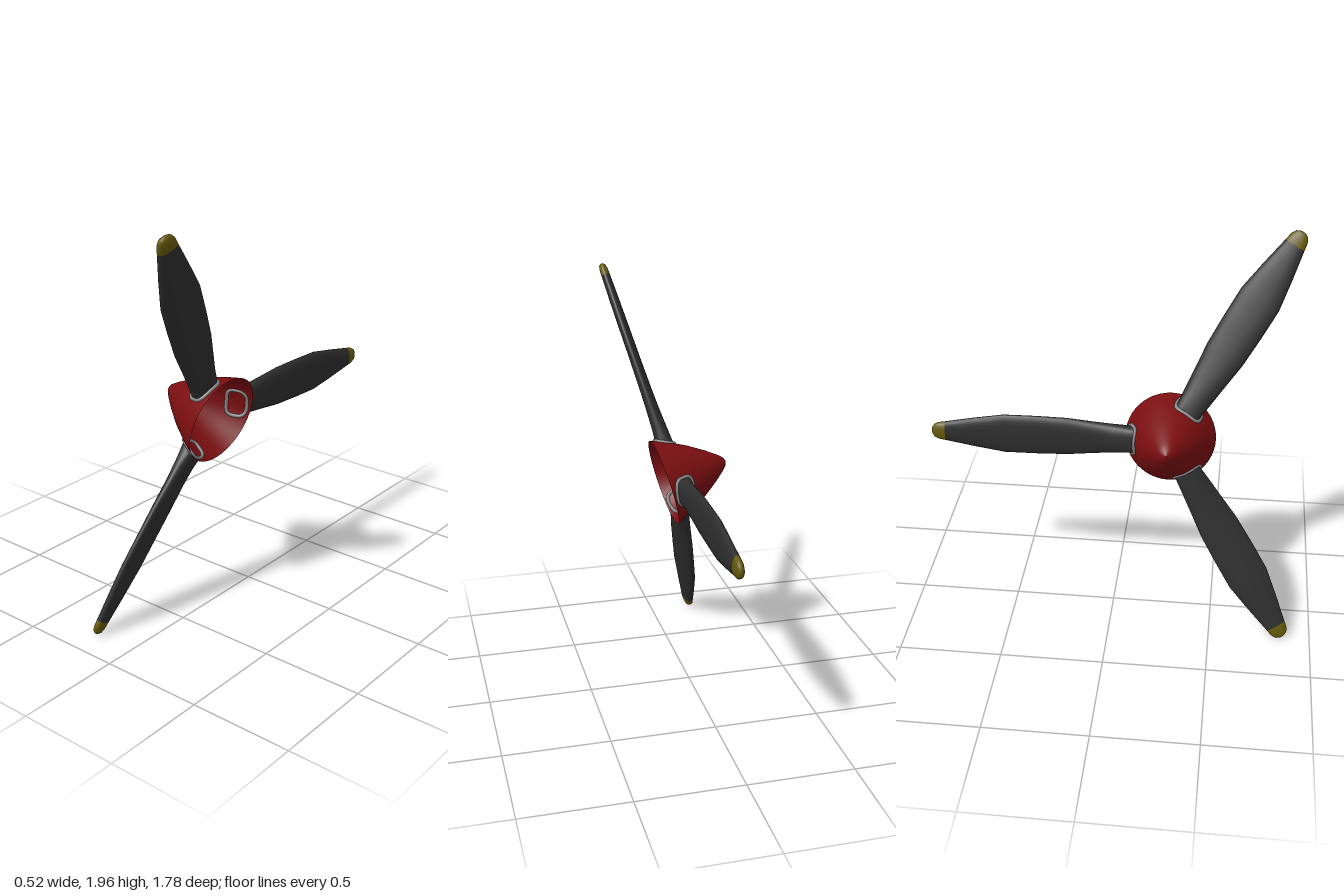
import * as THREE from 'three';

const mat = (name, color, side = THREE.FrontSide) => {
  const m = new THREE.MeshStandardMaterial({ color, side });
  m.name = name;
  return m;
};

// Spinner profile: [radius, distance ahead of the open base]
const PROFILE = [[0.218, 0], [0.184, 0.08], [0.139, 0.165], [0.086, 0.245], [0.05, 0.293], [0.024, 0.322], [0, 0.332]];
const HUB = 0.067; // distance of the blade plane ahead of the base
const SIDES = 24;

function spinnerRadius(s) {
  for (let i = 1; i < PROFILE.length; i++) {
    const [r0, s0] = PROFILE[i - 1], [r1, s1] = PROFILE[i];
    if (s <= s1) return r0 + (r1 - r0) * (s - s0) / (s1 - s0);
  }
  return 0;
}

// Blade stations: [distance from axis, half chord, half thickness, pitch]
const BLADE = [
  [0.19, 0.064, 0.043, 0.12], [0.27, 0.074, 0.037, 0.17], [0.36, 0.083, 0.032, 0.2],
  [0.495, 0.098, 0.028, 0.2], [0.65, 0.102, 0.026, 0.2], [0.8, 0.102, 0.025, 0.2],
  [0.95, 0.077, 0.024, 0.2], [1.09, 0.05, 0.022, 0.2],
];
const TIP = [
  [1.09, 0.05, 0.022, 0.2], [1.125, 0.044, 0.021, 0.2],
  [1.147, 0.032, 0.017, 0.2], [1.157, 0.014, 0.008, 0.2],
];

// One cross-section; the root follows the spinner surface
function ring([r, c, t, pitch], onSpinner = false, grow = 0) {
  const pts = [];
  const power = onSpinner ? 0.65 : 0.9;
  for (let j = 0; j < SIDES; j++) {
    const a = j / SIDES * Math.PI * 2;
    const cx = Math.cos(a), sy = Math.sin(a);
    const u = (c + grow) * Math.sign(cx) * Math.abs(cx) ** power;
    const v = (t + grow) * Math.sign(sy) * Math.abs(sy) ** power;
    const x = u * Math.cos(pitch) - v * Math.sin(pitch);
    const y = u * Math.sin(pitch) + v * Math.cos(pitch) - 0.015 * (r - 0.19);
    let d = r;
    if (onSpinner) {
      const R = spinnerRadius(Math.max(0, HUB + y));
      d = Math.sqrt(R * R - x * x);
    }
    pts.push(new THREE.Vector3(x, y, -d));
  }
  return pts;
}

// Skin a row of cross-sections, optionally closing the outer end
function loft(rings, cap) {
  const pos = [], idx = [];
  rings.forEach((r) => r.forEach((p) => pos.push(p.x, p.y, p.z)));
  for (let i = 0; i < rings.length - 1; i++) {
    for (let j = 0; j < SIDES; j++) {
      const k = (j + 1) % SIDES;
      const a = i * SIDES + j, b = i * SIDES + k, c = a + SIDES, d = b + SIDES;
      idx.push(a, c, b, b, c, d);
    }
  }
  if (cap) {
    const last = rings.length - 1;
    const mid = rings[last].reduce((s, p) => s.add(p), new THREE.Vector3()).divideScalar(SIDES);
    pos.push(mid.x, mid.y, mid.z - 0.002);
    for (let j = 0; j < SIDES; j++) {
      idx.push(rings.length * SIDES, last * SIDES + (j + 1) % SIDES, last * SIDES + j);
    }
  }
  const g = new THREE.BufferGeometry();
  g.setAttribute('position', new THREE.Float32BufferAttribute(pos, 3));
  g.setIndex(idx);
  g.computeVertexNormals();
  return g;
}

export function createModel() {
  const red = mat('spinnerRed', 0x7a0e10, THREE.DoubleSide);
  const dark = mat('bladeCharcoal', 0x2e2e2e, THREE.DoubleSide);
  const yellow = mat('tipYellow', 0x665a0a);
  const grey = mat('collarGrey', 0x858585);

  const model = new THREE.Group();
  model.name = 'propeller';
  const add = (parent, name, geometry, material) => {
    const m = new THREE.Mesh(geometry, material);
    m.name = name;
    parent.add(m);
    return m;
  };

  // Hollow spinner cone, open at the back
  const tilt = THREE.MathUtils.degToRad(15);
  const cone = new THREE.LatheGeometry(PROFILE.map(([r, s]) => new THREE.Vector2(r, s)), 48);
  const spinner = add(model, 'spinner', cone, red);
  spinner.rotation.z = Math.PI / 2 - tilt;
  spinner.position.set(0.06, 0.982, 0.269);

  // Blades, spread evenly around the hub
  const hub = new THREE.Group();
  hub.name = 'blades';
  hub.rotation.z = Math.PI / 2 - THREE.MathUtils.degToRad(13.2);
  hub.position.set(-0.005, 0.999, 0.268);
  model.add(hub);

  const bladeGeo = loft(BLADE.map((s, i) => ring(s, i === 0)), false);
  const tipGeo = loft(TIP.map((s) => ring(s)), true);
  const rimPath = new THREE.CatmullRomCurve3(ring(BLADE[0], true, 0.003), true);
  const rimGeo = new THREE.TubeGeometry(rimPath, 64, 0.009, 8, true);

  for (let i = 0; i < 3; i++) {
    const blade = new THREE.Group();
    blade.name = 'blade' + (i + 1);
    blade.rotation.y = THREE.MathUtils.degToRad(1 - 120 * i);
    add(blade, 'bladeBody', bladeGeo, dark);
    add(blade, 'bladeTip', tipGeo, yellow);
    add(blade, 'rootCollar', rimGeo, grey);
    hub.add(blade);
  }
  return model;
}
